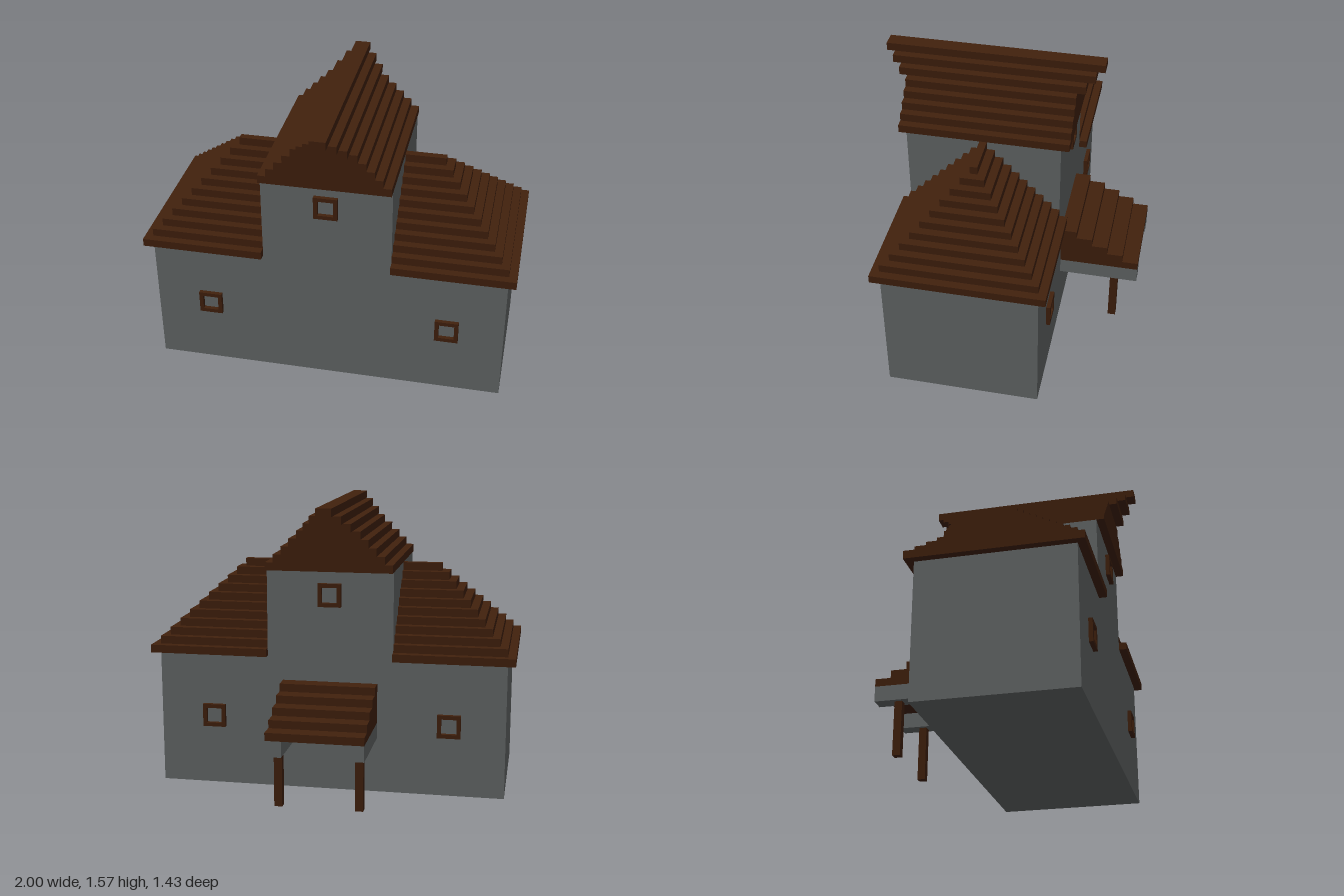
import * as THREE from 'three';

const S = 0.0435;       // height and inset of one roof step
const EAVE = 0.744;     // top of the main walls
const TOWER = 1.221;    // top of the tower walls
const FRONT = 0.542, BACK = -0.281, MID = (FRONT + BACK) / 2;
const TX = 0.346;       // half width of the tower

const stone = new THREE.MeshStandardMaterial({ color: 0x666a6a });
stone.name = 'grey stone';
const wood = new THREE.MeshStandardMaterial({ color: 0x42210d });
wood.name = 'dark brown wood';

// Box given by its lower and upper limits on each axis
function box(parent, name, mat, x0, x1, y0, y1, z0, z1) {
  const mesh = new THREE.Mesh(new THREE.BoxGeometry(x1 - x0, y1 - y0, z1 - z0), mat);
  mesh.position.set((x0 + x1) / 2, (y0 + y1) / 2, (z0 + z1) / 2);
  mesh.name = name;
  parent.add(mesh);
  return mesh;
}

function group(parent, name) {
  const g = new THREE.Group();
  g.name = name;
  parent.add(g);
  return g;
}

function square(Type, h) {
  return new Type([[-h, -h], [h, -h], [h, h], [-h, h]].map(p => new THREE.Vector2(...p)));
}

export function createModel() {
  const model = new THREE.Group();
  model.name = 'house';

  // Walls: main block and raised tower as one outline
  const outline = new THREE.Shape([
    [-0.957, 0], [0.957, 0], [0.957, EAVE], [TX, EAVE], [TX, TOWER],
    [-TX, TOWER], [-TX, EAVE], [-0.957, EAVE],
  ].map(p => new THREE.Vector2(...p)));
  const walls = new THREE.Mesh(
    new THREE.ExtrudeGeometry(outline, { depth: FRONT - BACK, bevelEnabled: false }), stone);
  walls.position.z = BACK;
  walls.name = 'walls';
  model.add(walls);

  // Stepped hip roofs on both sides of the tower
  const hipStep = (TOWER - EAVE) / 11;
  for (const side of [-1, 1]) {
    const roof = group(model, side > 0 ? 'leftHipRoof' : 'rightHipRoof');
    for (let i = 0; i < 11; i++) {
      const outer = side * (1 - i * S), inner = side * TX;
      const hz = (FRONT - BACK) / 2 + S - i * S;
      box(roof, 'hipRoofStep', wood, Math.min(outer, inner), Math.max(outer, inner),
        EAVE + i * hipStep, EAVE + (i + 1) * hipStep, MID - hz, MID + hz);
    }
  }

  // Stepped gable roof; the top three steps reach further out
  const gable = group(model, 'gableRoof');
  for (let i = 0; i < 8; i++) {
    const hx = TX - i * S;
    const over = S * (1 + Math.max(0, i - 4));
    box(gable, 'gableRoofStep', wood, -hx, hx, TOWER + i * S, TOWER + (i + 1) * S,
      BACK - over, FRONT + over);
  }

  // Window frames, front and back
  const frame = square(THREE.Shape, 0.0635);
  frame.holes.push(square(THREE.Path, 0.042));
  const frameGeo = new THREE.ExtrudeGeometry(frame, { depth: 0.022, bevelEnabled: false });
  for (const [x, y] of [[-0.653, 0.393], [0.653, 0.393], [0, 1.09]]) {
    for (const z of [FRONT, BACK - 0.022]) {
      const mesh = new THREE.Mesh(frameGeo, wood);
      mesh.position.set(x, y, z);
      mesh.name = 'windowFrame';
      model.add(mesh);
    }
  }

  // Back porch: stepped roof on two beams and two posts
  const porch = group(model, 'porch');
  const PX = 0.261, PY = 0.393, PZ = -0.716;
  for (let i = 0; i < 5; i++) {
    box(porch, 'porchRoofStep', wood, -PX, PX, PY + i * S, PY + (i + 1) * S,
      PZ + i * 2 * S, BACK);
  }
  for (const side of [-1, 1]) {
    const c = side * (PX - S);
    box(porch, 'porchBeam', stone, c - S, c + S, PY - 2 * S, PY, PZ, BACK);
    box(porch, 'porchPost', wood, c - S / 2, c + S / 2, 0, PY - 2 * S, -0.608, -0.565);
  }

  return model;
}
